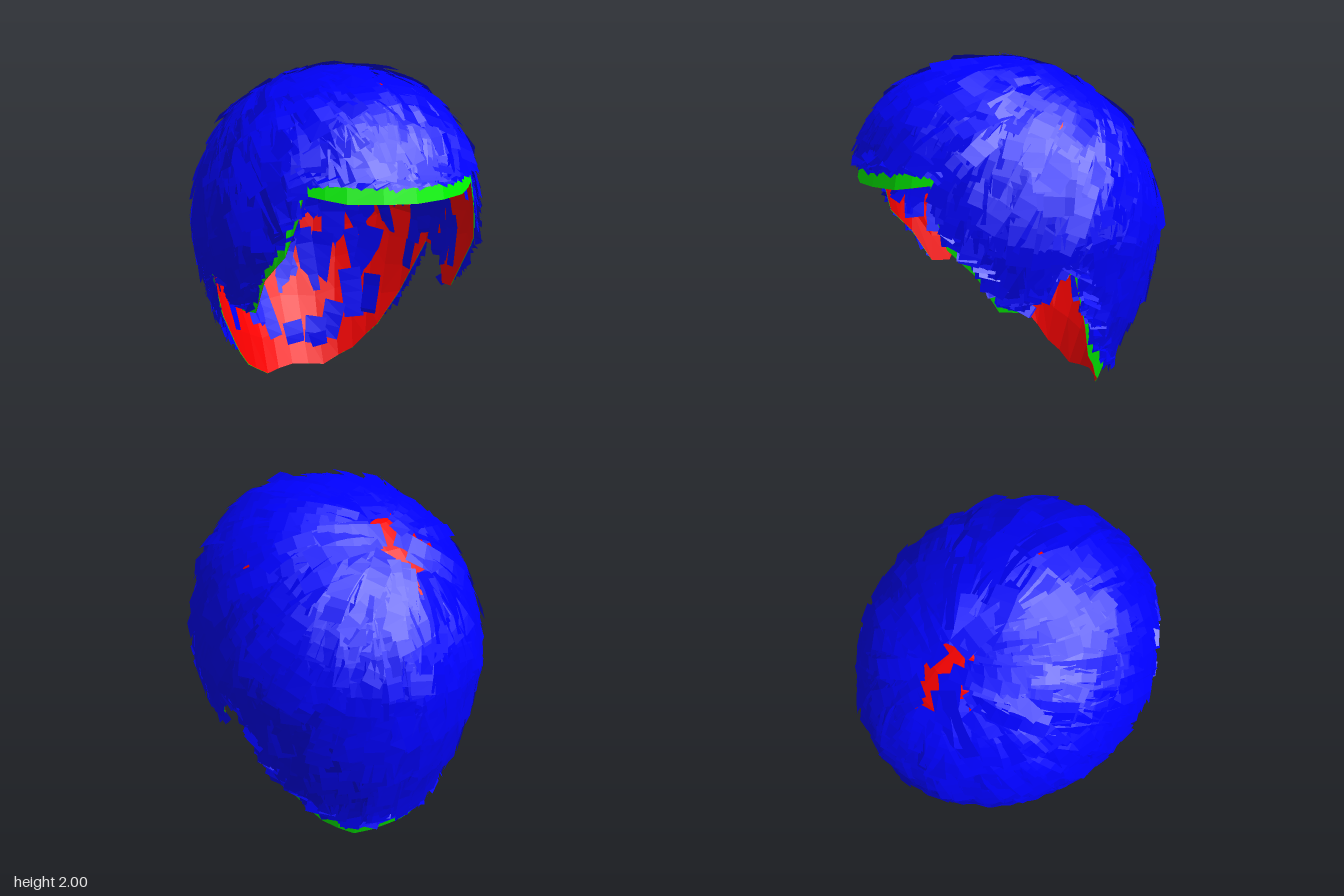
import * as THREE from 'three';

const { lerp, degToRad } = THREE.MathUtils;
const MID = 1.0, DOME = 0.965;

// Linear interpolation through [input, output] pairs
function sample(table, x) {
  if (x <= table[0][0]) return table[0][1];
  for (let i = 1; i < table.length; i++) {
    const [x0, y0] = table[i - 1], [x1, y1] = table[i];
    if (x <= x1) return lerp(y0, y1, (x - x0) / (x1 - x0));
  }
  return table[table.length - 1][1];
}

// Half width and back depth of the head by height; front depth is constant
const WIDTH = [[0, 0.54], [0.1, 0.54], [0.3, 0.59], [0.5, 0.67], [0.7, 0.73], [0.85, 0.77], [1, 0.81]];
const BACK = [[0, 0.54], [0.1, 0.59], [0.3, 0.68], [0.5, 0.78], [0.75, 0.86], [1, 0.895]];
const FRONT = 0.93;

// Height of the hem by angle from the front, in degrees: fringe, sideburn, ear, nape
const HEM = [[0, 1.29], [28, 1.3], [44, 1.34], [46, 1.2], [51, 1.0], [62, 0.85], [71, 0.64],
  [79, 0.63], [87, 0.82], [97, 0.84], [107, 0.5], [117, 0.28], [134, 0.11], [157, 0], [180, 0.02]];
const ANGLES = [0, 14, 28, 36, 44, 46, 51, 56, 62, 71, 79, 87, 97, 107, 117, 125, 134, 145, 157, 168, 180];

const hemAt = (a) => sample(HEM, Math.abs(a) * 180 / Math.PI);
const depth = (y, front) => (front ? FRONT : sample(BACK, y));
const power = (a) => 2.3 + 0.4 * Math.cos(a);
const angleOf = (p) => Math.atan2(p.x / sample(WIDTH, p.y), p.z / depth(p.y, p.z > 0));

// Head surface: a goes round from the front, q runs from the crown downwards
function surface(a, q) {
  const n = power(a);
  let y, u = 1;
  if (q < Math.PI / 2) {
    const v = Math.cos(q);
    u = Math.pow(Math.max(0, 1 - Math.pow(v, n)), 1 / n);
    y = MID + DOME * v;
  } else y = MID - (q - Math.PI / 2) * DOME;
  return new THREE.Vector3(
    sample(WIDTH, y) * u * Math.sin(a), y, depth(y, Math.cos(a) > 0) * u * Math.cos(a));
}
const qOfHeight = (y) => (y > MID ? Math.acos(Math.min(1, (y - MID) / DOME)) : Math.PI / 2 + (MID - y) / DOME);

// Pull a nearby point back on to the head surface
function project(p) {
  const w = sample(WIDTH, p.y), d = depth(p.y, p.z > 0);
  const u = Math.hypot(p.x / w, p.z / d) || 1e-4;
  if (p.y <= MID) return new THREE.Vector3(p.x / u, p.y, p.z / u);
  const n = power(angleOf(p));
  const r = Math.pow(Math.pow(u, n) + Math.pow((p.y - MID) / DOME, n), 1 / n);
  return new THREE.Vector3(p.x / r, MID + (p.y - MID) / r, p.z / r);
}

function outward(p) {
  const w = sample(WIDTH, p.y), d = depth(p.y, p.z > 0), dy = p.y - MID;
  return new THREE.Vector3(p.x / (w * w), dy / (dy > 0 ? 0.94 : 1.6), p.z / (d * d)).normalize();
}
const lifted = (p, amount) => p.clone().addScaledVector(outward(p), amount);

function buildGeometry(pos, index) {
  const g = new THREE.BufferGeometry();
  g.setAttribute('position', new THREE.Float32BufferAttribute(pos, 3));
  g.setIndex(index);
  g.computeVertexNormals();
  return g;
}

// Grid of rows of points turned into a surface
function loft(rows) {
  const pos = [], index = [], cols = rows[0].length;
  rows.forEach((row) => row.forEach((p) => pos.push(p.x, p.y, p.z)));
  for (let r = 0; r < rows.length - 1; r++) {
    for (let c = 0; c < cols - 1; c++) {
      const i = r * cols + c, j = i + cols;
      index.push(i, j, i + 1, i + 1, j, j + 1);
    }
  }
  return buildGeometry(pos, index);
}

function makeMesh(name, geometry, color) {
  const mesh = new THREE.Mesh(geometry, new THREE.MeshStandardMaterial({
    color, flatShading: true, side: THREE.DoubleSide }));
  mesh.name = name;
  return mesh;
}

// Bare distance between the hair tips and the hem: fringe, sideburn, ear, nape
const MARGIN = [[0, 0.07], [43, 0.06], [50, 0.05], [70, 0.04], [78, 0], [100, 0], [108, 0.04], [140, 0.09]];

// Locks of hair: short flat strips combed away from the whorl and downwards
function hairGeometry(count) {
  let seed = 7;
  const rand = () => (seed = (seed * 16807) % 2147483647) / 2147483647;
  const whorl = new THREE.Vector3(-0.05, 1.84, -0.47);
  const pos = [], index = [];

  for (let k = 0; k < count; k++) {
    const a0 = (rand() * 2 - 1) * Math.PI, y0 = 0.08 + 1.885 * rand();
    const swing = (rand() - 0.5) * 0.8, roll = (rand() - 0.5) * 0.4;
    const width = 0.045 + 0.04 * rand(), step = 0.07 + 0.04 * rand();
    const margin = sample(MARGIN, Math.abs(a0) * 180 / Math.PI) + 0.05 * rand();
    // Some locks reach through the cap, mostly above the nape
    const dug = rand() < (y0 > 1.15 ? 0.13 : 0.04);
    const root = dug ? -0.085 : -0.022 + 0.02 * rand();
    const tip = dug ? -0.05 : 0.005 + 0.045 * rand() * rand();
    let p = surface(a0, qOfHeight(y0));
    if (y0 < hemAt(a0) + margin + 0.04) continue;

    const spine = [];
    for (let s = 0; s <= 4; s++) {
      const n = outward(p);
      const dir = p.clone().sub(whorl).normalize();
      dir.y -= Math.max(0, 1.7 - p.y) * 1.3;
      dir.addScaledVector(n, -dir.dot(n)).normalize().applyAxisAngle(n, swing);
      spine.push({ p, n, dir });
      let next = null;
      for (const part of [1, 0.6, 0.3]) {
        const trial = project(p.clone().addScaledVector(dir, step * part));
        if (trial.y > hemAt(angleOf(trial)) + margin) { next = trial; break; }
      }
      if (!next) break;
      p = next;
    }
    if (spine.length < 2) continue;

    const base = pos.length / 3;
    spine.forEach(({ p: c, n, dir }, i) => {
      const t = i / (spine.length - 1);
      const across = n.clone().cross(dir).applyAxisAngle(dir, roll);
      for (const side of [-1, 1]) {
        const v = lifted(c, lerp(root, tip, t)).addScaledVector(across, side * width * (1 - 0.15 * t));
        pos.push(v.x, v.y, v.z);
      }
      if (i) {
        const b = base + i * 2;
        index.push(b - 2, b, b - 1, b - 1, b, b + 1);
      }
    });
  }
  return buildGeometry(pos, index);
}

export function createModel() {
  const model = new THREE.Group();
  model.name = 'wig';

  const angles = [...ANGLES.slice(1).reverse().map((d) => -d), ...ANGLES].map(degToRad);
  const ring = (t, offset) => angles.map((a) => lifted(surface(a, t * qOfHeight(hemAt(a))), offset));
  const steps = Array.from({ length: 13 }, (_, i) => i / 12);

  // Inner cap, meeting the outer band at the hem
  const lining = steps.map((t) => ring(t, lerp(-0.055, -0.018, Math.pow(t, 8))));
  model.add(makeMesh('capLining', loft(lining), 0xff0000));

  // Outer band of the cap
  const band = steps.filter((t) => t > 0.6).map((t) => ring(t, -0.015));
  model.add(makeMesh('capBand', loft(band), 0x00ff00));

  // Hair
  model.add(makeMesh('hairLocks', hairGeometry(2800), 0x0000ff));
  return model;
}
